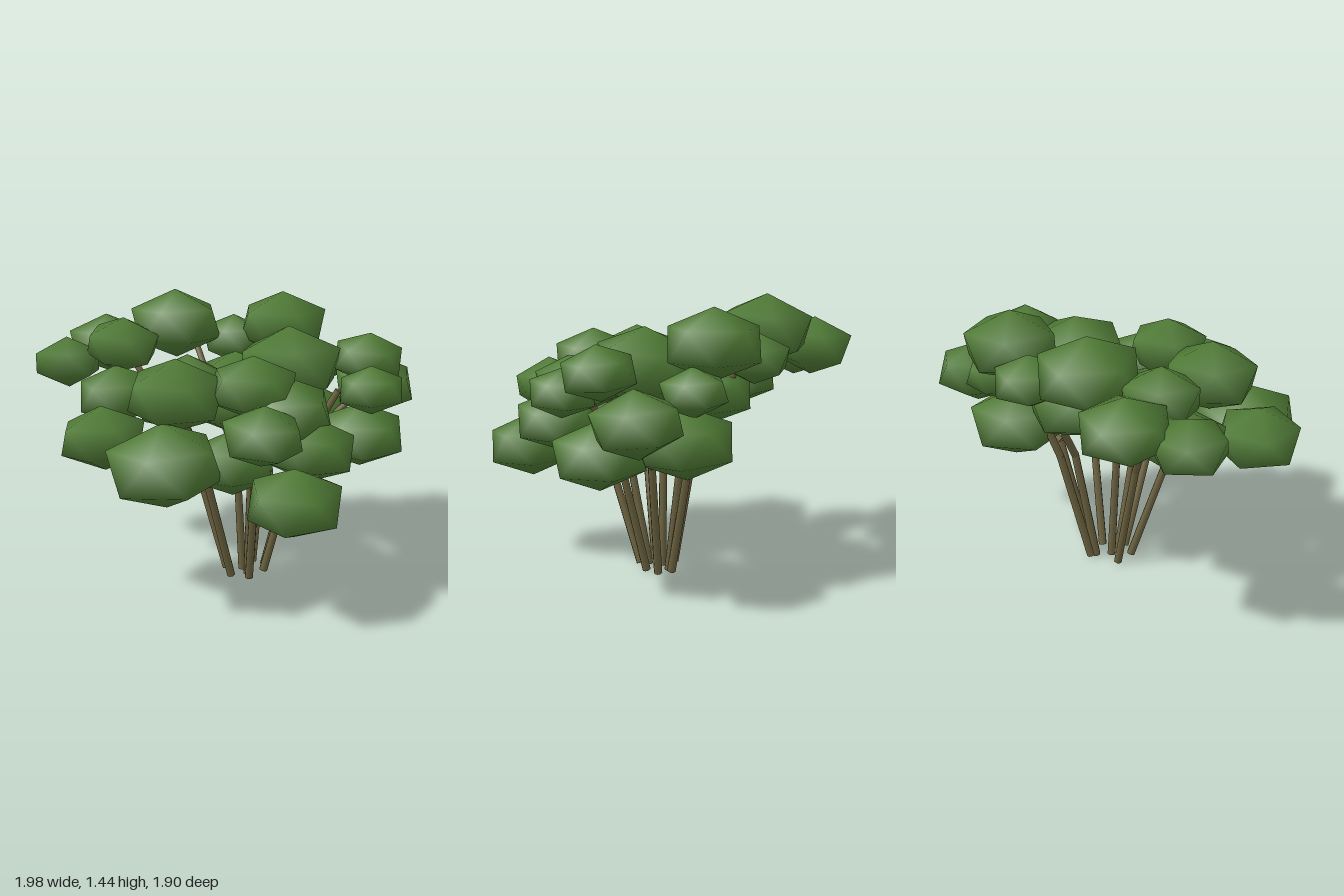
import * as THREE from 'three';

// Leaf clumps by layer: centre x, y, z and radius
const UPPER_CLUMPS = [
  [-0.17, 1.265, -0.51, 0.237],
  [0.375, 1.25, -0.315, 0.23],
  [0.22, 1.11, 0.06, 0.262],
  [-0.47, 1.06, 0.215, 0.233],
  [0.61, 1.135, 0.19, 0.175],
  [-0.145, 1.1, 0.39, 0.202],
  [-0.48, 1.145, -0.745, 0.202],
  [-0.5, 1.19, -0.44, 0.187],
  [-0.74, 1.08, -0.64, 0.174],
  [0.16, 1.16, -0.49, 0.17],
];
const MIDDLE_CLUMPS = [
  [0, 0.98, 0.44, 0.222],
  [0.51, 1.02, 0.39, 0.16],
  [0.785, 0.935, -0.02, 0.212],
  [-0.225, 0.94, 0.65, 0.188],
  [-0.57, 0.95, -0.34, 0.2],
  [-0.79, 0.85, 0.065, 0.205],
  [-0.27, 1.03, -0.12, 0.19],
  [0.51, 1.04, -0.24, 0.16],
  [0.06, 0.97, -0.25, 0.22],
  [-0.36, 0.92, -0.17, 0.17],
  [-0.16, 0.95, 0.11, 0.165],
];
const LOWER_CLUMPS = [
  [0.09, 0.805, 0.53, 0.21],
  [-0.1, 0.625, 0.73, 0.22],
  [-0.6, 0.775, 0.38, 0.267],
  [0.57, 0.735, 0.2, 0.222],
  [0.44, 0.78, -0.19, 0.235],
  [-0.24, 0.73, 0.35, 0.205],
];

// Stems: x, z where they bend, then x, y, z of the tip inside the leaves
const STEMS = [
  [-0.29, 0.14, -0.42, 0.95, 0.17],
  [-0.23, -0.14, -0.45, 1.1, -0.4],
  [-0.1, 0.32, -0.11, 0.7, 0.5],
  [-0.06, 0.19, -0.12, 1, 0.35],
  [-0.05, 0, -0.1, 1.15, -0.38],
  [0.13, -0.12, 0.16, 1.1, -0.4],
  [0.19, -0.17, 0.35, 1.15, -0.3],
  [0.29, 0, 0.7, 0.92, -0.01],
  [0.19, 0.18, 0.36, 1.02, 0.32],
];

// Small seeded generator for the turn and tilt of the clumps
function seeded(seed) {
  return () => {
    seed = (seed * 16807) % 2147483647;
    return seed / 2147483647;
  };
}

// Icosahedron standing on a corner, with smooth normals
function makeClumpGeometry() {
  const geometry = new THREE.IcosahedronGeometry(1, 0);
  geometry.rotateZ(Math.atan2(2, 1 + Math.sqrt(5)));
  geometry.setAttribute('normal', geometry.attributes.position.clone());
  return geometry;
}

// Straight tapered length between two points
function stemLength(from, to, bottomRadius, topRadius, material) {
  const along = to.clone().sub(from);
  const geometry = new THREE.CylinderGeometry(topRadius, bottomRadius, along.length(), 8);
  const mesh = new THREE.Mesh(geometry, material);
  mesh.name = 'stemLength';
  mesh.position.copy(from).addScaledVector(along, 0.5);
  mesh.quaternion.setFromUnitVectors(new THREE.Vector3(0, 1, 0), along.normalize());
  return mesh;
}

export function createModel() {
  const model = new THREE.Group();
  model.name = 'bush';

  const leafGreen = new THREE.MeshStandardMaterial({ color: 0x4f7a35 });
  leafGreen.name = 'leaf green';
  const barkBrown = new THREE.MeshStandardMaterial({ color: 0x6c6340 });
  barkBrown.name = 'bark brown';

  // Flattened, coarse clumps with smooth shading
  const foliage = new THREE.Group();
  foliage.name = 'foliage';
  const clumpGeometry = makeClumpGeometry();
  const ringRadius = 2 / Math.sqrt(5);
  const random = seeded(71);
  for (const [x, y, z, r] of [...UPPER_CLUMPS, ...MIDDLE_CLUMPS, ...LOWER_CLUMPS]) {
    const clump = new THREE.Mesh(clumpGeometry, leafGreen);
    clump.name = 'leafClump';
    clump.position.set(x, y, z);
    clump.scale.set(r / ringRadius, r * 0.77, r / ringRadius);
    clump.rotation.set((random() - 0.5) * 0.15, random() * Math.PI * 2, (random() - 0.5) * 0.15);
    foliage.add(clump);
  }

  // Stems lean outward from a small ring and bend once below the leaves
  const stems = new THREE.Group();
  stems.name = 'stems';
  for (const [bendX, bendZ, tipX, tipY, tipZ] of STEMS) {
    const foot = new THREE.Vector3(bendX * 0.38, 0.01, bendZ * 0.38);
    const bend = new THREE.Vector3(bendX, 0.62, bendZ);
    const tip = new THREE.Vector3(tipX, tipY, tipZ);
    const stem = new THREE.Group();
    stem.name = 'stem';
    stem.add(
      stemLength(foot, bend, 0.022, 0.02, barkBrown),
      stemLength(bend, tip, 0.02, 0.017, barkBrown),
    );
    stems.add(stem);
  }

  model.add(stems, foliage);
  return model;
}
